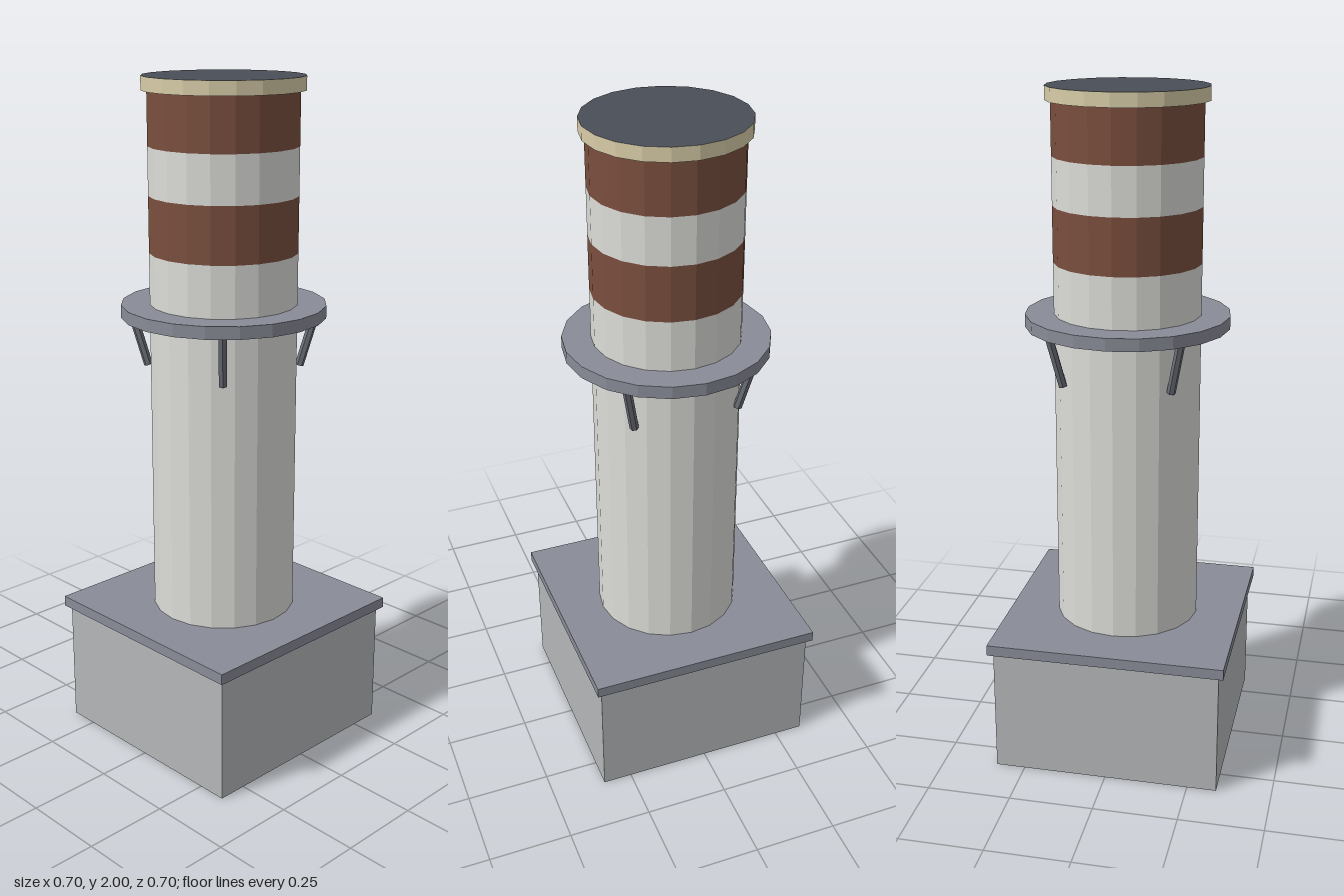
import * as THREE from 'three';

const mat = (name, color) => {
  const m = new THREE.MeshStandardMaterial({ color, flatShading: true });
  m.name = name;
  return m;
};

export function createModel() {
  const concrete = mat('concrete grey', 0xb4b6b8);
  const steel = mat('steel grey', 0x898c97);
  const white = mat('off white', 0xdcdcd8);
  const brown = mat('red brown', 0x7a4f3e);
  const cream = mat('cream', 0xd8cda8);
  const dark = mat('dark flue', 0x4a4e57);
  const strutGrey = mat('strut grey', 0x6c7079);

  const model = new THREE.Group();
  model.name = 'chimney';

  const add = (name, geometry, material, y) => {
    const mesh = new THREE.Mesh(geometry, material);
    mesh.name = name;
    mesh.position.y = y;
    model.add(mesh);
    return mesh;
  };
  const box = (name, size, y0, y1, material) =>
    add(name, new THREE.BoxGeometry(size, y1 - y0, size), material, (y0 + y1) / 2);
  const drum = (name, r, y0, y1, material, open = false) =>
    add(name, new THREE.CylinderGeometry(r, r, y1 - y0, 20, 1, open), material, (y0 + y1) / 2);

  // Square plinth with an overhanging slab
  box('plinth', 0.675, 0, 0.38, concrete);
  box('plinthSlab', 0.705, 0.38, 0.412, steel);

  // Striped stack
  const levels = [0.412, 1.507, 1.67, 1.808, 1.962];
  for (let i = 0; i < 4; i++) {
    const painted = i % 2 === 1;
    drum(painted ? 'paintedBand' : 'stackSection', 0.216, levels[i], levels[i + 1], painted ? brown : white, true);
  }

  // Rim: cream sides, dark mouth on top
  drum('rim', 0.232, 1.96, 2, [cream, dark, cream]);

  // Service platform and its four slanted struts
  drum('platform', 0.3, 1.32, 1.357, steel);
  const top = new THREE.Vector3(0, 1.325, 0.268);
  const foot = new THREE.Vector3(0, 1.168, 0.223);
  const slope = top.clone().sub(foot);
  for (let i = 0; i < 4; i++) {
    const pivot = new THREE.Group();
    pivot.name = 'platformStrut';
    pivot.rotation.y = Math.PI / 4 + (i * Math.PI) / 2;
    const rod = new THREE.Mesh(new THREE.CylinderGeometry(0.013, 0.013, slope.length(), 6), strutGrey);
    rod.name = 'strutRod';
    rod.position.copy(top).add(foot).multiplyScalar(0.5);
    rod.quaternion.setFromUnitVectors(new THREE.Vector3(0, 1, 0), slope.clone().normalize());
    pivot.add(rod);
    model.add(pivot);
  }

  return model;
}
